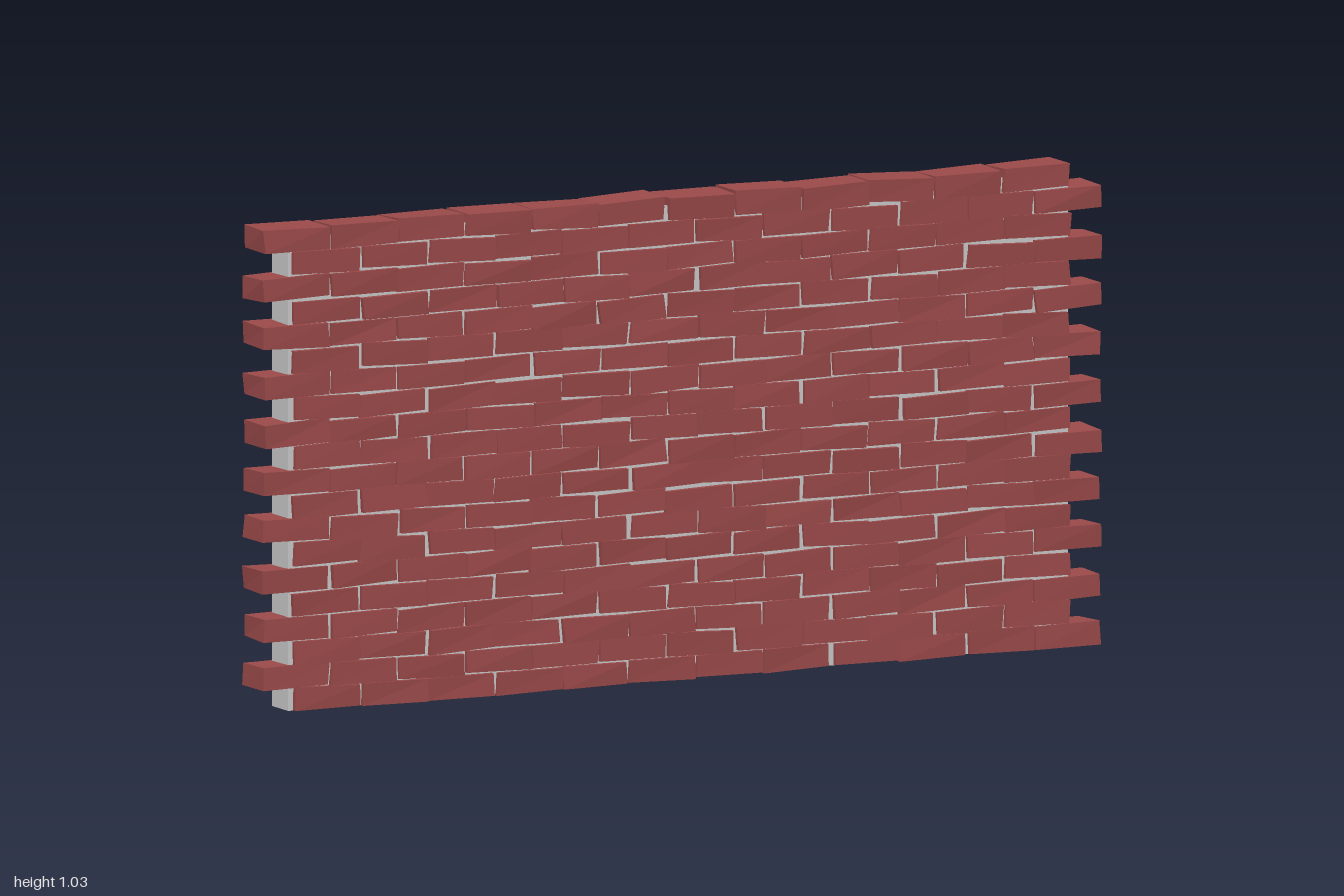
import * as THREE from 'three';

const ROWS = 20, PER_ROW = 12;
const PITCH_X = 0.159, PITCH_Y = 0.0515;
const SIZE = [0.153, 0.048, 0.093];

// Small seeded generator returning values in -1..1
function seeded(seed) {
  let s = seed;
  return () => {
    s = (s * 1664525 + 1013904223) % 4294967296;
    return (s / 4294967296) * 2 - 1;
  };
}

// Box whose eight corners are nudged, giving a rough hand-laid brick
function brickGeometry(rand) {
  const geo = new THREE.BoxGeometry(...SIZE);
  const nudge = Array.from({ length: 8 }, () => [rand() * 0.003, rand() * 0.0025, rand() * 0.002]);
  const p = geo.attributes.position;
  for (let i = 0; i < p.count; i++) {
    const x = p.getX(i), y = p.getY(i), z = p.getZ(i);
    const n = nudge[(x > 0 ? 1 : 0) + (y > 0 ? 2 : 0) + (z > 0 ? 4 : 0)];
    p.setXYZ(i, x + n[0], y + n[1], z + n[2]);
  }
  geo.computeVertexNormals();
  return geo;
}

export function createModel() {
  const wall = new THREE.Group();
  wall.name = 'brickWall';
  const rand = seeded(7);
  const brickMat = new THREE.MeshStandardMaterial({ color: 0x9c4a4a, flatShading: true });
  const mortarMat = new THREE.MeshStandardMaterial({ color: 0xcccccc });

  // Recessed mortar core
  const mortar = new THREE.Mesh(new THREE.BoxGeometry(1.84, 1.005, 0.074), mortarMat);
  mortar.name = 'mortar';
  mortar.position.set(-0.005, 0.5075, 0);
  wall.add(mortar);

  // Courses in running bond: alternate rows step left and right
  for (let r = 0; r < ROWS; r++) {
    const course = new THREE.Group();
    course.name = `course${r + 1}`;
    course.position.set(r % 2 === 0 ? 0.036 : -0.036, 0.026 + r * PITCH_Y, 0);
    for (let c = 0; c < PER_ROW; c++) {
      const brick = new THREE.Mesh(brickGeometry(rand), brickMat);
      brick.name = 'brick';
      const end = c === 0 || c === PER_ROW - 1;
      brick.position.set(
        (c - (PER_ROW - 1) / 2) * PITCH_X + rand() * (end ? 0.002 : 0.005),
        r === 0 ? 0.002 : rand() * 0.002,
        rand() * 0.001
      );
      // Slight unevenness in how each brick sits
      brick.rotation.set(rand() * 0.02, rand() * 0.02, rand() * (r === 0 ? 0.01 : 0.03));
      course.add(brick);
    }
    wall.add(course);
  }
  return wall;
}
